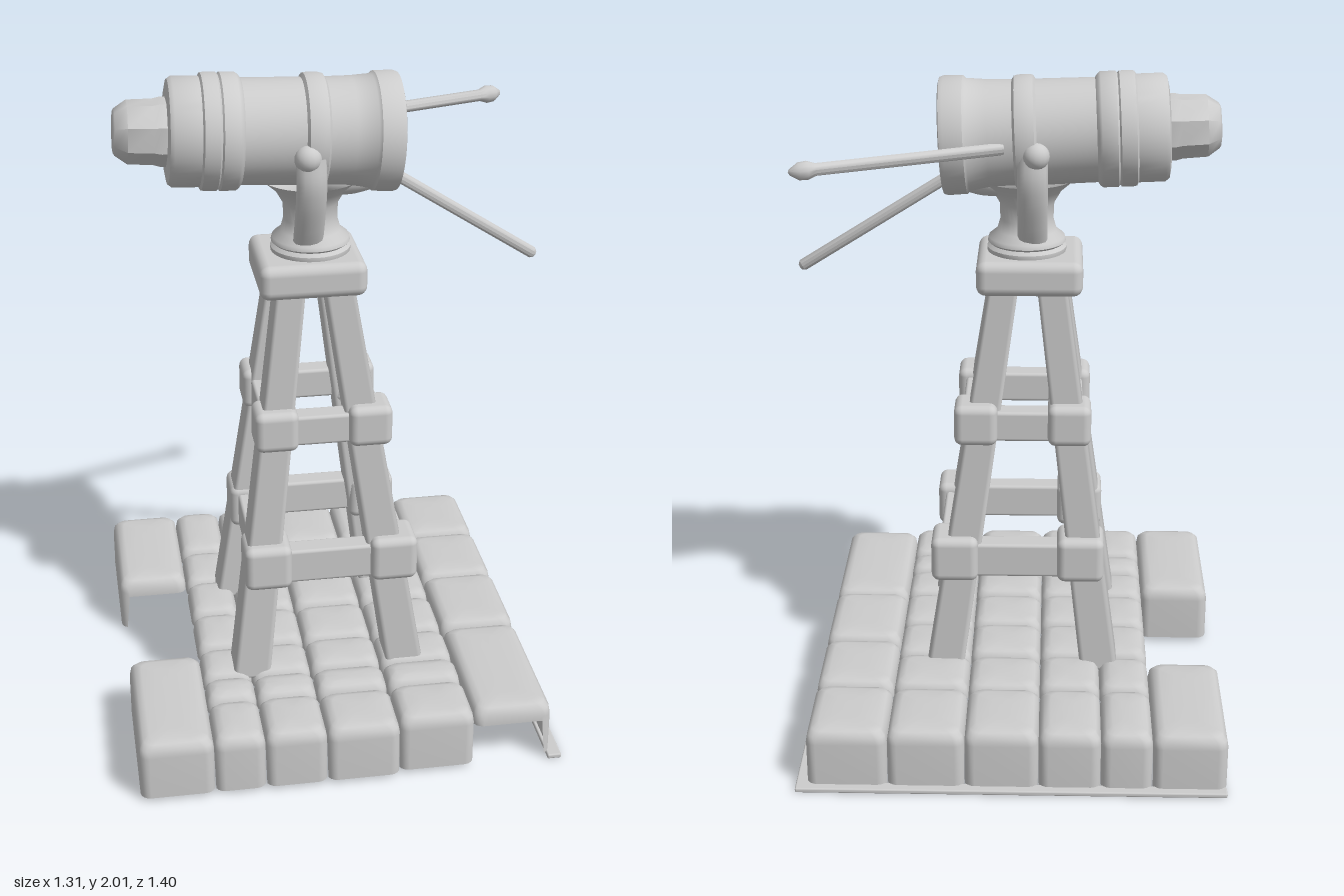
import * as THREE from 'three';
import { toCreasedNormals } from 'three/addons/utils/BufferGeometryUtils.js';
import { RoundedBoxGeometry } from 'three/addons/geometries/RoundedBoxGeometry.js';

const grey = new THREE.MeshStandardMaterial({ color: 0xcccccc, side: THREE.DoubleSide });
grey.name = 'plainGrey';
const CZ = 0.035; // depth of the tower's axis

function add(parent, name, geometry, x = 0, y = 0, z = 0) {
  const mesh = new THREE.Mesh(geometry, grey);
  mesh.name = name;
  mesh.position.set(x, y, z);
  parent.add(mesh);
  return mesh;
}

// Rounded block given by its extents
function block(parent, name, x0, x1, y0, y1, z0, z1, r = 0.02) {
  const g = new RoundedBoxGeometry(x1 - x0, y1 - y0, z1 - z0, 3, r);
  return add(parent, name, g, (x0 + x1) / 2, (y0 + y1) / 2, (z0 + z1) / 2);
}

// Hollow paving stone: rounded loops from the crown out to the rim.
// Sides listed in `walls` (l, r, b, f) reach the ground, others end in the seam.
function stone(parent, x0, x1, z0, z1, walls, top) {
  const rings = [[0.08, top], [0.035, top - 0.001], [0.016, top - 0.007], [0.004, top - 0.022], [0, top - 0.045], [0, 0]];
  const cx = (x0 + x1) / 2, cz = (z0 + z1) / 2, n = 5, count = n * 4;
  const pos = [cx, top + 0.001, cz], idx = [];
  for (const [inset, y] of rings) {
    const hx = Math.max((x1 - x0) / 2 - inset, 0.015), hz = Math.max((z1 - z0) / 2 - inset, 0.015);
    const r = Math.min(0.03, hx, hz);
    for (let k = 0; k < count; k++) {
      const q = Math.floor(k / n), a = (q + (k % n) / (n - 1)) * Math.PI / 2;
      const sx = q === 0 || q === 3 ? 1 : -1, sz = q < 2 ? 1 : -1;
      const px = sx * (hx - r) + r * Math.cos(a), pz = sz * (hz - r) + r * Math.sin(a);
      const outer = (walls.includes('l') && px < -hx + r) || (walls.includes('r') && px > hx - r)
        || (walls.includes('b') && pz < -hz + r) || (walls.includes('f') && pz > hz - r);
      pos.push(cx + px, y || (outer ? 0.012 : top - 0.06), cz + pz);
    }
  }
  for (let k = 0; k < count; k++) {
    const m = (k + 1) % count;
    idx.push(0, 1 + m, 1 + k);
    for (let i = 0; i < rings.length - 1; i++) {
      const a = 1 + i * count, b = a + count;
      idx.push(a + k, a + m, b + k, a + m, b + m, b + k);
    }
  }
  const g = new THREE.BufferGeometry();
  g.setAttribute('position', new THREE.Float32BufferAttribute(pos, 3));
  g.setIndex(idx);
  g.computeVertexNormals();
  add(parent, 'pavingStone', g);
}

function buildBase() {
  const base = new THREE.Group();
  base.name = 'stoneBase';
  let seed = 7;
  const rand = () => (seed = (seed * 16807) % 2147483647) / 2147483647;
  const put = (x0, x1, z0, z1, walls = '') => stone(base, x0, x1, z0, z1, walls, 0.192 + rand() * 0.006);

  // Two long stones on the left, with a missing stone between them
  put(-0.655, -0.433, -0.675, -0.23, 'lb');
  put(-0.655, -0.433, 0.23, 0.7, 'lfb');
  // Middle columns
  const xs = [-0.433, -0.28, -0.095, 0.125, 0.355];
  const rows = [-0.675, -0.4, -0.2, 0, 0.2, 0.365, 0.49, 0.7];
  for (let i = 0; i < xs.length - 1; i++) {
    for (let j = 0; j < rows.length - 1; j++) {
      const front = j === rows.length - 2;
      put(xs[i], xs[i + 1], rows[j], front && i === 3 ? 0.685 : rows[j + 1], j === 0 ? 'b' : front ? 'f' : '');
    }
  }
  // Right column; its front stone is broken open
  const zs = [-0.675, -0.39, -0.11, 0.2, 0.67];
  for (let j = 0; j < 4; j++) put(0.355, 0.595, zs[j], zs[j + 1], j === 0 ? 'rb' : 'r');
  // Thin lip along the back and the right
  block(base, 'backLip', -0.655, 0.625, 0, 0.015, -0.7, -0.66, 0.005);
  block(base, 'rightLip', 0.585, 0.628, 0, 0.015, -0.7, 0.685, 0.005);
  return base;
}

function buildTower() {
  const tower = new THREE.Group();
  tower.name = 'tower';
  // Splayed legs, sheared and widened toward the foot
  for (const [xt, xb] of [[-0.12, -0.28], [0.02, 0.205]]) {
    for (const [zt, zb] of [[0.125, 0.295], [-0.045, -0.19]]) {
      const g = new RoundedBoxGeometry(0.09, 1.24, 0.09, 3, 0.012);
      const p = g.attributes.position;
      for (let i = 0; i < p.count; i++) {
        const t = 0.5 - p.getY(i) / 1.24, w = 1 + 0.3 * t;
        p.setX(i, p.getX(i) * w + xt + (xb - xt) * t);
        p.setZ(i, p.getZ(i) * w + zt + (zb - zt) * t);
      }
      add(tower, 'leg', g, 0, 0.78, 0);
    }
  }
  // Two bands of corner blocks joined by rails
  const bands = [
    { y0: 0.455, y1: 0.6, x: [-0.29, 0.245], z: [-0.225, 0.325], s: 0.145 },
    { y0: 0.895, y1: 1.025, x: [-0.245, 0.172], z: [-0.18, 0.265], s: 0.132 },
  ];
  for (const { y0, y1, x, z, s } of bands) {
    for (const bx of [x[0], x[1] - s]) {
      for (const bz of [z[0], z[1] - s]) block(tower, 'cornerBlock', bx, bx + s, y0, y1, bz, bz + s, 0.025);
    }
    const inset = 0.025, d = 0.07, ya = y0 + 0.01, yb = y1 - 0.025;
    for (const a of [z[0] + inset, z[1] - inset - d]) block(tower, 'crossRail', x[0] + 0.06, x[1] - 0.06, ya, yb, a, a + d, 0.01);
    for (const a of [x[0] + inset, x[1] - inset - d]) block(tower, 'sideRail', a, a + d, ya, yb, z[0] + 0.06, z[1] - 0.06, 0.01);
  }
  block(tower, 'topCap', -0.215, 0.105, 1.355, 1.462, -0.122, 0.192, 0.03);
  return tower;
}

function lathe(points, segments) {
  const g = new THREE.LatheGeometry(points.map(([r, y]) => new THREE.Vector2(r, y)), segments);
  return toCreasedNormals(g, 0.7);
}

function buildMount() {
  const mount = new THREE.Group();
  mount.name = 'swivelMount';
  add(mount, 'neck', lathe([[0.115, 1.45], [0.12, 1.465], [0.12, 1.475], [0.11, 1.485], [0.118, 1.492], [0.115, 1.505], [0.09, 1.525],
    [0.08, 1.56], [0.082, 1.61], [0.105, 1.65], [0.15, 1.69]], 32), -0.045, 0, CZ);
  // Flare under the barrel's open end
  const flare = add(mount, 'flare', new THREE.SphereGeometry(0.1, 20, 12), 0.05, 1.685, CZ);
  flare.scale.set(1.3, 0.55, 0.8);
  // Fork arms and pivot knobs
  for (const s of [-1, 1]) {
    const curve = new THREE.CatmullRomCurve3([[1.5, 0.07], [1.57, 0.105], [1.66, 0.142], [1.72, 0.155], [1.79, 0.15]]
      .map(([y, z]) => new THREE.Vector3(0, y, s * z)));
    const arm = add(mount, 'forkArm', new THREE.TubeGeometry(curve, 20, 0.028, 12), -0.063, 0, CZ);
    arm.scale.x = 1.6;
    add(mount, 'pivotKnob', new THREE.SphereGeometry(0.04, 16, 12), -0.073, 1.79, CZ - 0.003 + s * 0.155);
  }
  return mount;
}

function buildBarrel() {
  const barrel = new THREE.Group();
  barrel.name = 'barrel';
  // Body with raised bands and a dished open end
  add(barrel, 'barrelBody', lathe([[0, -0.33], [0.125, -0.335], [0.15, -0.33], [0.159, -0.318], [0.159, -0.24], [0.168, -0.235],
    [0.17, -0.225], [0.17, -0.19], [0.164, -0.185], [0.17, -0.18], [0.17, -0.135], [0.164, -0.127], [0.154, -0.12],
    [0.156, 0.055], [0.168, 0.062], [0.17, 0.075], [0.17, 0.105], [0.167, 0.118], [0.157, 0.125], [0.16, 0.2], [0.166, 0.26],
    [0.174, 0.268], [0.176, 0.325], [0.172, 0.337], [0.162, 0.34], [0.132, 0.34], [0.122, 0.33], [0.116, 0.295],
    [0.09, 0.29], [0.08, 0.298], [0.072, 0.285], [0, 0.28]], 48));
  // Faceted eyepiece
  const eye = add(barrel, 'eyepiece', lathe([[0, -0.485], [0.06, -0.485], [0.068, -0.48], [0.092, -0.445], [0.095, -0.37],
    [0.1, -0.35], [0.1, -0.32]], 8));
  eye.rotation.y = Math.PI / 8;
  barrel.rotation.z = -Math.PI / 2 - 0.045;
  barrel.position.set(-0.13, 1.826, CZ - 0.003);
  return barrel;
}

// Round rod between two points, with an optional pointed knob at the end
function rod(parent, name, from, to, r, knob) {
  const a = new THREE.Vector3(...from), dir = new THREE.Vector3(...to).sub(a), L = dir.length();
  const end = knob ? [[r, L - 0.08], [r * 1.5, L - 0.055], [r * 1.4, L - 0.03], [r * 0.5, L - 0.005]] : [[r, L - 0.01], [r * 0.6, L]];
  const m = add(parent, name, lathe([[0, 0], [r, 0.005], ...end, [0, L]], 12), ...from);
  m.quaternion.setFromUnitVectors(new THREE.Vector3(0, 1, 0), dir.normalize());
}

export function createModel() {
  const model = new THREE.Group();
  model.name = 'mountedScope';
  model.add(buildBase(), buildTower(), buildMount(), buildBarrel());
  rod(model, 'sideHandle', [0.02, 1.81, -0.115], [0.615, 1.798, -0.342], 0.018, true);
  rod(model, 'lowerHandle', [0.18, 1.695, 0.025], [0.645, 1.4, 0.035], 0.018, false);
  return model;
}
